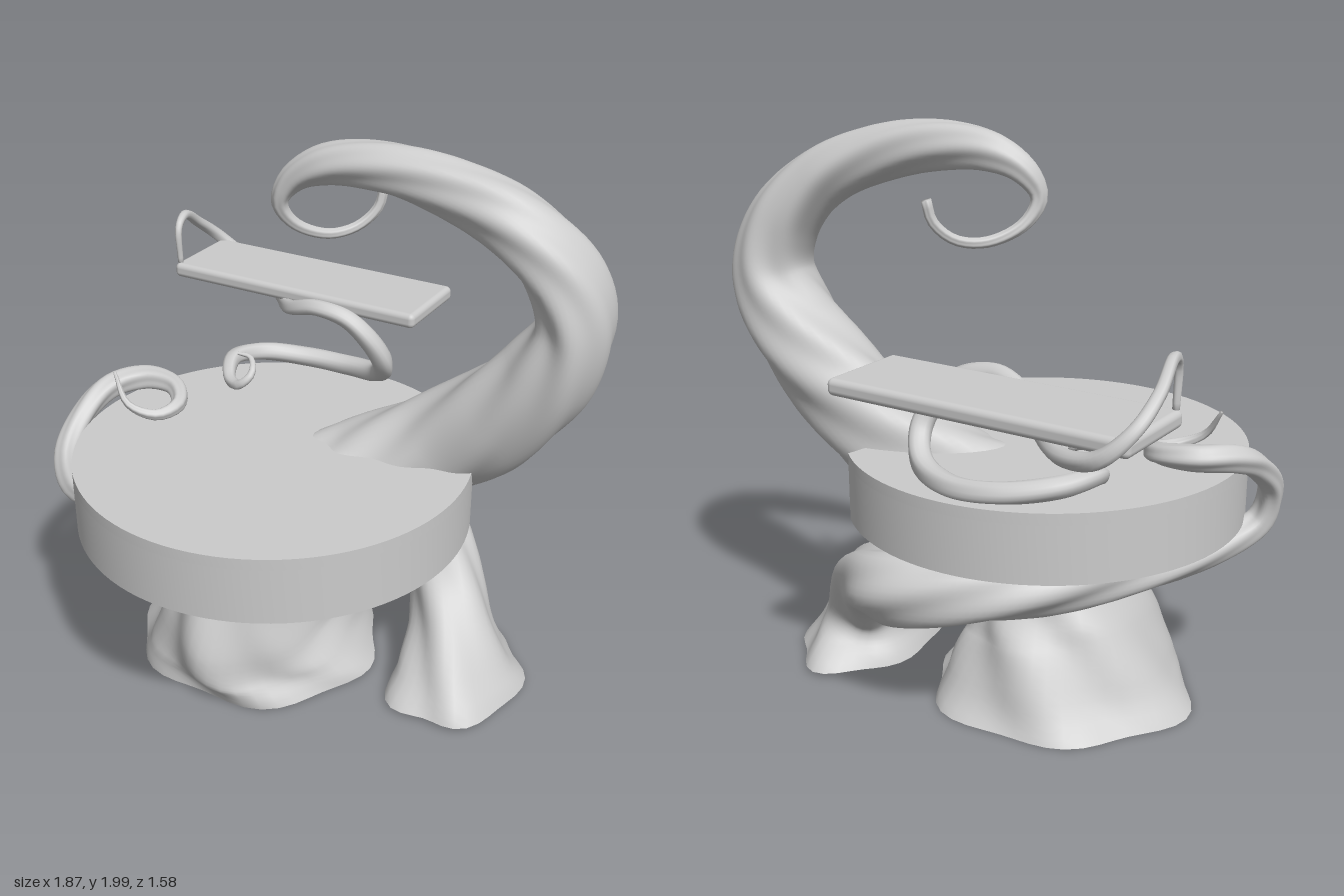
import * as THREE from 'three';
import { toCreasedNormals } from 'three/addons/utils/BufferGeometryUtils.js';
import { RoundedBoxGeometry } from 'three/addons/geometries/RoundedBoxGeometry.js';

const material = new THREE.MeshStandardMaterial({ color: 0xcccccc, side: THREE.DoubleSide });

function addMesh(group, name, geometry) {
  const mesh = new THREE.Mesh(geometry, material);
  mesh.name = name;
  group.add(mesh);
  return mesh;
}

// Gnarled limb: rings swept along [x, y, z, radius, z stretch] stations, with twisting ridges.
function limb(stations, { rings, sides, ridges, depth, turns }) {
  const path = new THREE.CatmullRomCurve3(stations.map(([x, y, z]) => new THREE.Vector3(x, y, z)));
  const sizes = new THREE.CatmullRomCurve3(
    stations.map(([, , , r, s = 1]) => new THREE.Vector3(r, s, 0)), false, 'catmullrom', 0.4);
  const { normals, binormals } = path.computeFrenetFrames(rings);
  const positions = [];
  const index = [];
  const offset = new THREE.Vector3();
  for (let i = 0; i <= rings; i++) {
    const u = i / rings;
    const centre = path.getPointAt(u);
    const size = sizes.getPoint(path.getUtoTmapping(u));
    // Rings level out towards the ground so feet stand flat
    const level = THREE.MathUtils.smoothstep(centre.y, 0.02, 0.3);
    const twist = u * turns * Math.PI * 2;
    for (let j = 0; j < sides; j++) {
      const a = (j / sides) * Math.PI * 2;
      const ripple = Math.cos(ridges * (a + twist)) + 0.5 * Math.sin(3 * (a + twist) + 1);
      const r = size.x * (1 + depth * ripple);
      offset.set(0, 0, 0)
        .addScaledVector(normals[i], r * Math.cos(a))
        .addScaledVector(binormals[i], r * Math.sin(a));
      positions.push(
        centre.x + offset.x,
        Math.max(centre.y + offset.y * level, 0),
        centre.z + offset.z * size.y);
      if (i < rings) {
        const k = (j + 1) % sides;
        const n = i * sides;
        index.push(n + j, n + k, n + sides + j, n + k, n + sides + k, n + sides + j);
      }
    }
  }
  // Close the tip
  const tip = path.getPointAt(1);
  positions.push(tip.x, tip.y, tip.z);
  const last = rings * sides;
  for (let j = 0; j < sides; j++) index.push(last + j, last + ((j + 1) % sides), last + sides);
  const geometry = new THREE.BufferGeometry();
  geometry.setAttribute('position', new THREE.Float32BufferAttribute(positions, 3));
  geometry.setIndex(index);
  geometry.computeVertexNormals();
  return geometry;
}

// Disc layer with a notch where the trunk passes; drawInside adds the inner outline.
function discLayer(top, bottom, drawInside) {
  const start = THREE.MathUtils.degToRad(-25);
  const end = THREE.MathUtils.degToRad(312);
  const shape = new THREE.Shape();
  shape.absarc(0, 0, 0.702, start, end, false);
  drawInside(shape, start, end);
  shape.closePath();
  const geometry = new THREE.ExtrudeGeometry(shape, {
    depth: top - bottom, bevelEnabled: false, curveSegments: 48,
  });
  geometry.rotateX(Math.PI / 2).translate(-0.138, top, 0.09);
  return toCreasedNormals(geometry, 0.6);
}

export function createModel() {
  const model = new THREE.Group();
  model.name = 'tentacleTable';

  // Round table with a hollow underside
  const table = new THREE.Group();
  table.name = 'tableTop';
  addMesh(table, 'tablePlate', discLayer(0.9, 0.86, (shape) => shape.lineTo(0.44, -0.37)));
  addMesh(table, 'tableRim', discLayer(0.86, 0.66,
    (shape, start, end) => shape.absarc(0, 0, 0.5, end, start, true)));
  model.add(table);

  // Raised shelf at the back
  addMesh(model, 'shelf', new RoundedBoxGeometry(1.045, 0.056, 0.335, 4, 0.02))
    .position.set(-0.375, 1.25, -0.577);

  // Main trunk, rising through the table and curling over
  addMesh(model, 'trunk', limb([
    [-0.26, 0, 0.01, 0.465, 1], [-0.25, 0.1, 0.05, 0.385, 1.13], [-0.23, 0.24, 0.09, 0.305, 1.27],
    [-0.19, 0.42, 0.09, 0.235, 1.32], [-0.09, 0.6, 0, 0.23, 1.2], [0.13, 0.76, -0.13, 0.205, 0.9],
    [0.35, 0.91, -0.205, 0.185, 0.88], [0.56, 1.07, -0.215, 0.178, 0.9], [0.73, 1.26, -0.225, 0.157, 1.05],
    [0.81, 1.45, -0.23, 0.125, 1.25], [0.765, 1.62, -0.21, 0.12, 1.18], [0.61, 1.78, -0.17, 0.107, 1.12],
    [0.4, 1.87, -0.14, 0.094], [0.18, 1.912, -0.11, 0.082], [-0.02, 1.9, -0.08, 0.066],
    [-0.135, 1.84, -0.055, 0.045], [-0.178, 1.76, -0.04, 0.028], [-0.15, 1.68, -0.08, 0.021],
    [-0.07, 1.627, -0.17, 0.018], [0, 1.64, -0.26, 0.017], [0.05, 1.7, -0.31, 0.017],
    [0.063, 1.77, -0.325, 0.017],
  ], { rings: 150, sides: 48, ridges: 6, depth: 0.045, turns: 1.3 }));

  // Second leg, sweeping behind the trunk and up over the table edge
  addMesh(model, 'sideLeg', limb([
    [0.52, 0.015, -0.115, 0.235, 1.32], [0.51, 0.1, -0.12, 0.188, 1.25], [0.46, 0.23, -0.18, 0.145, 1.1],
    [0.36, 0.36, -0.3, 0.13], [0.24, 0.45, -0.42, 0.125], [0.1, 0.5, -0.51, 0.125],
    [-0.1, 0.53, -0.48, 0.12], [-0.35, 0.55, -0.33, 0.105], [-0.58, 0.56, -0.05, 0.082],
    [-0.75, 0.59, 0.2, 0.06], [-0.85, 0.66, 0.335, 0.048], [-0.885, 0.78, 0.33, 0.042],
    [-0.885, 0.9, 0.21, 0.042], [-0.855, 0.965, 0.08, 0.045], [-0.76, 0.98, -0.02, 0.044],
    [-0.64, 0.97, -0.025, 0.036], [-0.568, 0.95, 0.06, 0.027], [-0.6, 0.94, 0.15, 0.02],
    [-0.69, 0.98, 0.195, 0.013], [-0.76, 1.08, 0.17, 0.006],
  ], { rings: 130, sides: 36, ridges: 5, depth: 0.065, turns: 1.2 }));

  // Thin tendril, coiled on the table and wrapping the shelf
  addMesh(model, 'shelfTendril', limb([
    [-0.51, 1.04, -0.26, 0.006], [-0.46, 1.03, -0.27, 0.01], [-0.425, 0.99, -0.22, 0.014],
    [-0.46, 0.95, -0.19, 0.018], [-0.53, 0.94, -0.23, 0.023], [-0.575, 0.98, -0.33, 0.03],
    [-0.52, 0.97, -0.45, 0.035], [-0.36, 0.945, -0.54, 0.036], [-0.18, 0.94, -0.56, 0.037],
    [-0.04, 0.97, -0.51, 0.038], [0.015, 1.05, -0.44, 0.038], [-0.015, 1.15, -0.39, 0.036],
    [-0.1, 1.23, -0.365, 0.033], [-0.22, 1.255, -0.35, 0.03], [-0.34, 1.22, -0.38, 0.028],
    [-0.48, 1.19, -0.53, 0.027], [-0.68, 1.185, -0.72, 0.027], [-0.82, 1.22, -0.765, 0.026],
    [-0.9, 1.3, -0.72, 0.023], [-0.92, 1.38, -0.62, 0.02], [-0.9, 1.45, -0.5, 0.017],
    [-0.885, 1.42, -0.435, 0.014], [-0.88, 1.28, -0.43, 0.011],
  ], { rings: 150, sides: 16, ridges: 4, depth: 0.06, turns: 1 }));

  return model;
}
